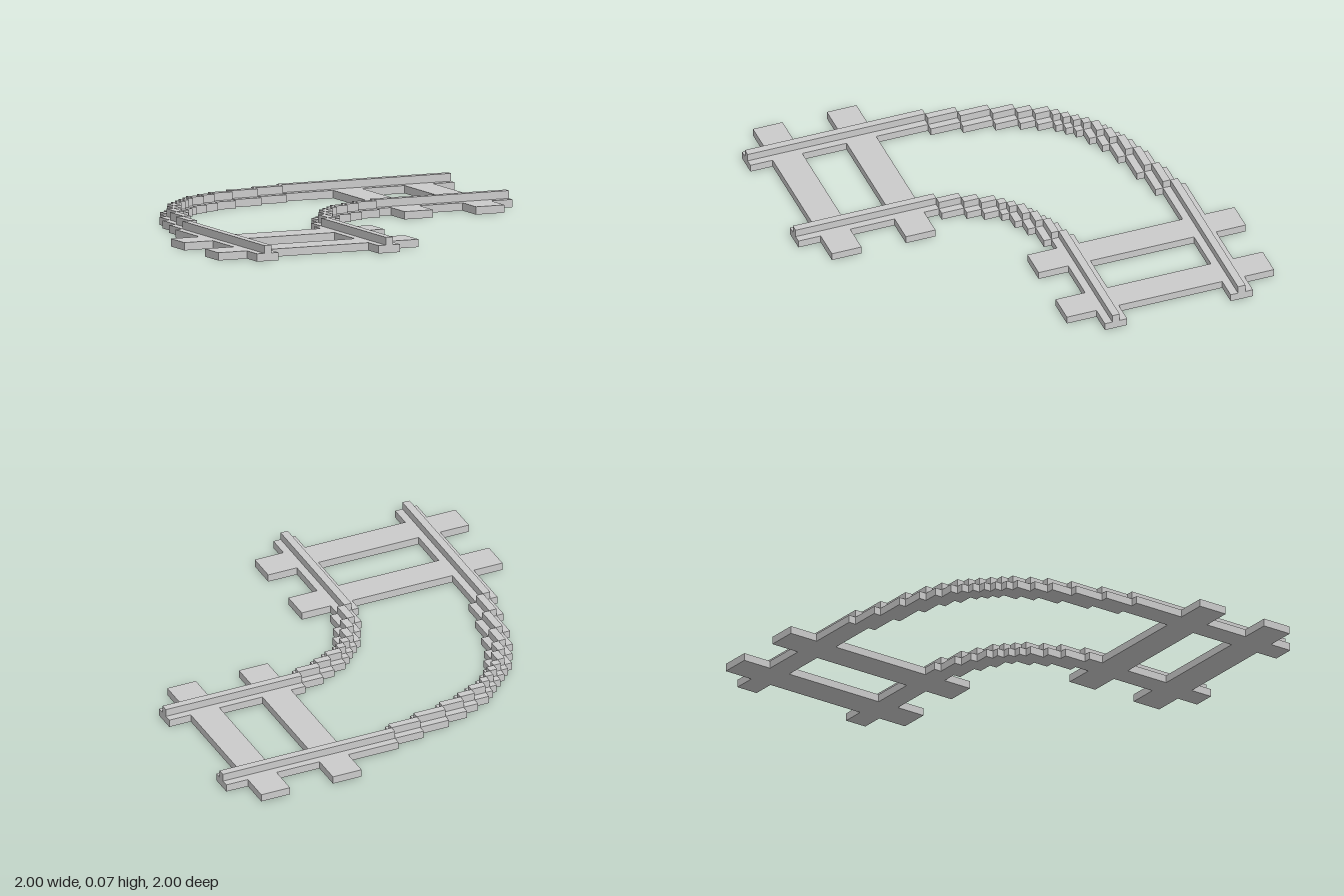
import * as THREE from 'three';

const U = 2 / 54; // one block unit; the plan is a 54 x 54 block square

const material = new THREE.MeshStandardMaterial({ color: 0xcccccc, flatShading: true });

// Box between block coordinates; swap mirrors it across the plan diagonal
function addBox(group, name, [x0, x1], [y0, y1], [z0, z1], swap = false) {
  if (swap) [x0, x1, z0, z1] = [z0, z1, x0, x1];
  const geometry = new THREE.BoxGeometry((x1 - x0) * U, (y1 - y0) * U, (z1 - z0) * U);
  const mesh = new THREE.Mesh(geometry, material);
  mesh.position.set((x0 + x1) / 2 * U - 1, (y0 + y1) / 2 * U, (z0 + z1) / 2 * U - 1);
  mesh.name = name;
  group.add(mesh);
}

// Stepped quarter-turn rail: each step moves one block inward, meeting at the diagonal
function makeRail(name, steps, zStart) {
  const rail = new THREE.Group();
  rail.name = name;
  for (const swap of [false, true]) {
    for (let i = 0; i < steps.length - 1; i++) {
      const span = [steps[i + 1], steps[i]];
      const z = zStart + i;
      addBox(rail, 'railBase', span, [0, 1], [z, z + 3], swap);
      addBox(rail, 'railHead', span, [1, 2], [z + 1, z + 2], swap);
    }
    // blocks beside the diagonal
    const z = zStart + steps.length - 1;
    const span = [z + 2, z + 3];
    addBox(rail, 'railBase', span, [0, 1], [z, z + 1], swap);
    addBox(rail, 'railHead', span, [1, 2], [z + 1, z + 2], swap);
  }
  // square on the diagonal
  const c = zStart + steps.length;
  addBox(rail, 'railBaseCorner', [c, c + 2], [0, 1], [c, c + 2]);
  return rail;
}

export function createModel() {
  const model = new THREE.Group();
  model.name = 'curvedTrack';

  model.add(makeRail('outerRail', [54, 30, 26, 22, 19, 17, 15, 14], 4));
  model.add(makeRail('innerRail', [54, 35, 32, 30, 28], 21));

  // Two ties at each end, split where the rail bases cross them
  for (const swap of [false, true]) {
    for (const x of [37, 47]) {
      const tie = new THREE.Group();
      tie.name = 'tie';
      for (const span of [[0, 4], [7, 21], [24, 28]]) {
        addBox(tie, 'tieSection', [x, x + 4], [0, 1], span, swap);
      }
      model.add(tie);
    }
  }
  return model;
}
